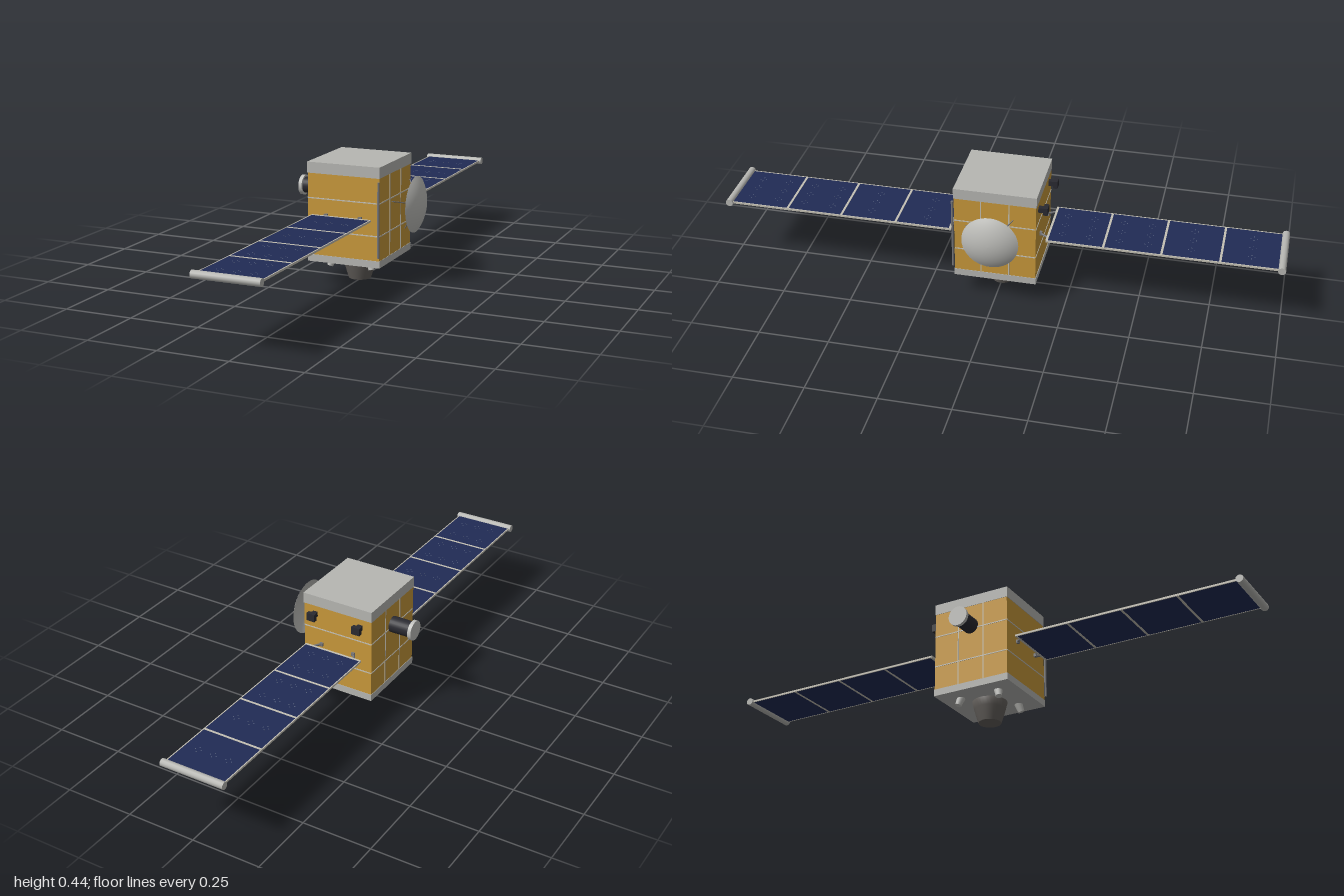
import * as THREE from 'three';

const mat = (name, color, extra = {}) => {
  const m = new THREE.MeshStandardMaterial({ color, ...extra });
  m.name = name;
  return m;
};

export function createModel() {
  const gold = mat('goldFoil', 0xc8983a);
  const grey = mat('lightGrey', 0xb6b6b2);
  const silver = mat('silver', 0xc0c0bc, { side: THREE.DoubleSide });
  const navy = mat('solarNavy', 0x202b55);
  const seamMat = mat('seamGrey', 0xc4c0b4);
  const dark = mat('darkHousing', 0x2a2a31);
  const nozzleMat = mat('nozzleGrey', 0x64605c, { side: THREE.DoubleSide });
  const steel = mat('steel', 0x77777a);
  const dotMat = mat('cellDots', 0x66708c);

  const model = new THREE.Group();
  model.name = 'satellite';
  const CX = -0.0095, WY = 0.253;

  const add = (parent, name, geo, material, x = 0, y = 0, z = 0) => {
    const m = new THREE.Mesh(geo, material);
    m.name = name;
    m.position.set(x, y, z);
    parent.add(m);
    return m;
  };
  const box = (p, name, material, w, h, d, x, y, z) =>
    add(p, name, new THREE.BoxGeometry(w, h, d), material, x, y, z);
  // Thin rod between two points
  const rod = (p, name, material, a, b, r) => {
    const va = new THREE.Vector3(...a), vb = new THREE.Vector3(...b);
    const dir = vb.clone().sub(va);
    const m = add(p, name, new THREE.CylinderGeometry(r, r, dir.length(), 8), material);
    m.position.copy(va).add(vb).multiplyScalar(0.5);
    m.quaternion.setFromUnitVectors(new THREE.Vector3(0, 1, 0), dir.normalize());
    return m;
  };

  // Body with end caps
  const body = new THREE.Group();
  body.name = 'body';
  body.position.x = CX;
  model.add(body);
  box(body, 'foilBody', gold, 0.27, 0.3, 0.29, 0, 0.253, 0);
  box(body, 'topCap', grey, 0.273, 0.039, 0.294, 0, 0.419, 0);
  box(body, 'bottomCap', grey, 0.273, 0.025, 0.294, 0, 0.095, 0);

  // Foil seams
  for (const y of [0.195, 0.311]) {
    for (const s of [-1, 1]) {
      box(body, 'seamAcross', seamMat, 0.268, 0.004, 0.002, 0, y, s * 0.1455);
      box(body, 'seamSide', seamMat, 0.002, 0.004, 0.288, s * 0.1355, y, 0);
    }
  }
  for (const s of [-1, 1]) for (const z of [-0.05, 0.05])
    box(body, 'seamUpright', seamMat, 0.002, 0.293, 0.004, s * 0.1355, 0.2535, z);

  // Corner rod
  rod(model, 'cornerRod', steel, [0.125, 0.12, 0.151], [0.125, 0.387, 0.151], 0.0045);

  // Main engine nozzle
  const profile = [[0, 0], [0.04, 0], [0.048, 0.025], [0.055, 0.05], [0.062, 0.078], [0.05, 0.083]]
    .map(([x, y]) => new THREE.Vector2(x, y));
  add(model, 'mainNozzle', new THREE.LatheGeometry(profile.slice(1), 32), nozzleMat, CX);
  add(model, 'nozzleEnd', new THREE.CylinderGeometry(0.04, 0.04, 0.002, 32), nozzleMat, CX, 0.001);

  // Corner thrusters, tilted outwards
  for (const sx of [-1, 1]) for (const sz of [-1, 1]) {
    const t = add(model, 'cornerThruster', new THREE.CylinderGeometry(0.015, 0.011, 0.032, 16),
      silver, CX + sx * 0.076, 0.07, sz * 0.078);
    t.rotation.set(-sz * 0.25, 0, sx * 0.25);
  }

  // Camera barrel and lens ring
  const barrel = add(model, 'cameraBarrel', new THREE.CylinderGeometry(0.029, 0.029, 0.082, 28), dark, -0.182, 0.321, 0);
  barrel.rotation.z = Math.PI / 2;
  const ring = add(model, 'lensRing', new THREE.CylinderGeometry(0.036, 0.036, 0.013, 28), silver, -0.2285, 0.321, 0);
  ring.rotation.z = Math.PI / 2;

  // Dish antenna, bulging outwards, with three feed struts
  const dish = new THREE.Group();
  dish.name = 'dishAntenna';
  dish.position.set(0.203, 0.287, 0);
  model.add(dish);
  const R = (0.1 ** 2 + 0.03 ** 2) / 0.06;
  const cap = [];
  for (let i = 0; i <= 10; i++) {
    const a = Math.asin(0.1 / R) * (1 - i / 10);
    cap.push(new THREE.Vector2(R * Math.sin(a), R * Math.cos(a) - R + 0.03));
  }
  const bowl = add(dish, 'dishBowl', new THREE.LatheGeometry(cap, 40), silver);
  bowl.rotation.z = -Math.PI / 2;
  for (let i = 0; i < 3; i++) {
    const a = Math.PI / 4 + i * Math.PI * 2 / 3;
    rod(dish, 'feedStrut', steel, [0.003, 0, 0],
      [-0.05, 0.1 * Math.cos(a), -0.1 * Math.sin(a)], 0.002);
  }

  // Star trackers on the back face
  for (const x of [-0.1, 0.08]) {
    box(model, 'trackerMount', dark, 0.018, 0.018, 0.02, x, 0.368, -0.155);
    box(model, 'trackerHead', dark, 0.032, 0.028, 0.016, x, 0.368, -0.171);
  }

  // Solar wings; dots lie on some rows of cells
  const dotRows = [0.262, 0.468, 0.617, 0.72, 0.82, 0.92];
  const backRows = [0.225, 0.32, 0.425, 0.525, 0.675, 0.88];
  for (const s of [-1, 1]) {
    const wing = new THREE.Group();
    wing.name = s > 0 ? 'frontWing' : 'backWing';
    wing.position.set(CX, WY, 0);
    model.add(wing);
    const z0 = s > 0 ? 0.165 : 0.175, z1 = 0.975;
    box(wing, 'solarPanel', navy, 0.218, 0.006, z1 - z0, 0, 0, s * (z0 + z1) / 2);
    for (const e of [-1, 1])
      box(wing, 'panelEdge', seamMat, 0.004, 0.007, z1 - z0, e * 0.11, 0, s * (z0 + z1) / 2);
    for (let i = 0; i < 4; i++)
      box(wing, 'panelDivider', seamMat, 0.22, 0.008, 0.008, 0, 0, s * (z0 + i * 0.201 + (i ? 0 : 0.003)));
    // End bar
    const bar = add(wing, 'endBar', new THREE.CylinderGeometry(0.0135, 0.0135, 0.236, 12), grey, 0, 0, s * 0.9865);
    bar.rotation.z = Math.PI / 2;
    // Yoke struts and hinges
    for (const e of [-1, 1]) {
      rod(wing, 'yokeStrut', steel, [e * 0.06, 0, s * 0.14], [e * 0.084, 0, s * 0.176], 0.004);
      box(wing, 'hinge', steel, 0.012, 0.012, 0.01, e * 0.064, 0, s * 0.149);
    }
    // Cell contact dots
    const dot = new THREE.BoxGeometry(0.003, 0.001, 0.003);
    for (const z of s > 0 ? dotRows : backRows) for (const x of [-0.058, 0, 0.058])
      for (const [dx, dz] of [[0.011, 0], [-0.011, 0], [0, 0.011], [0, -0.011]])
        add(wing, 'cellDot', dot, dotMat, x + dx, 0.0033, s * z + dz);
  }
  return model;
}
